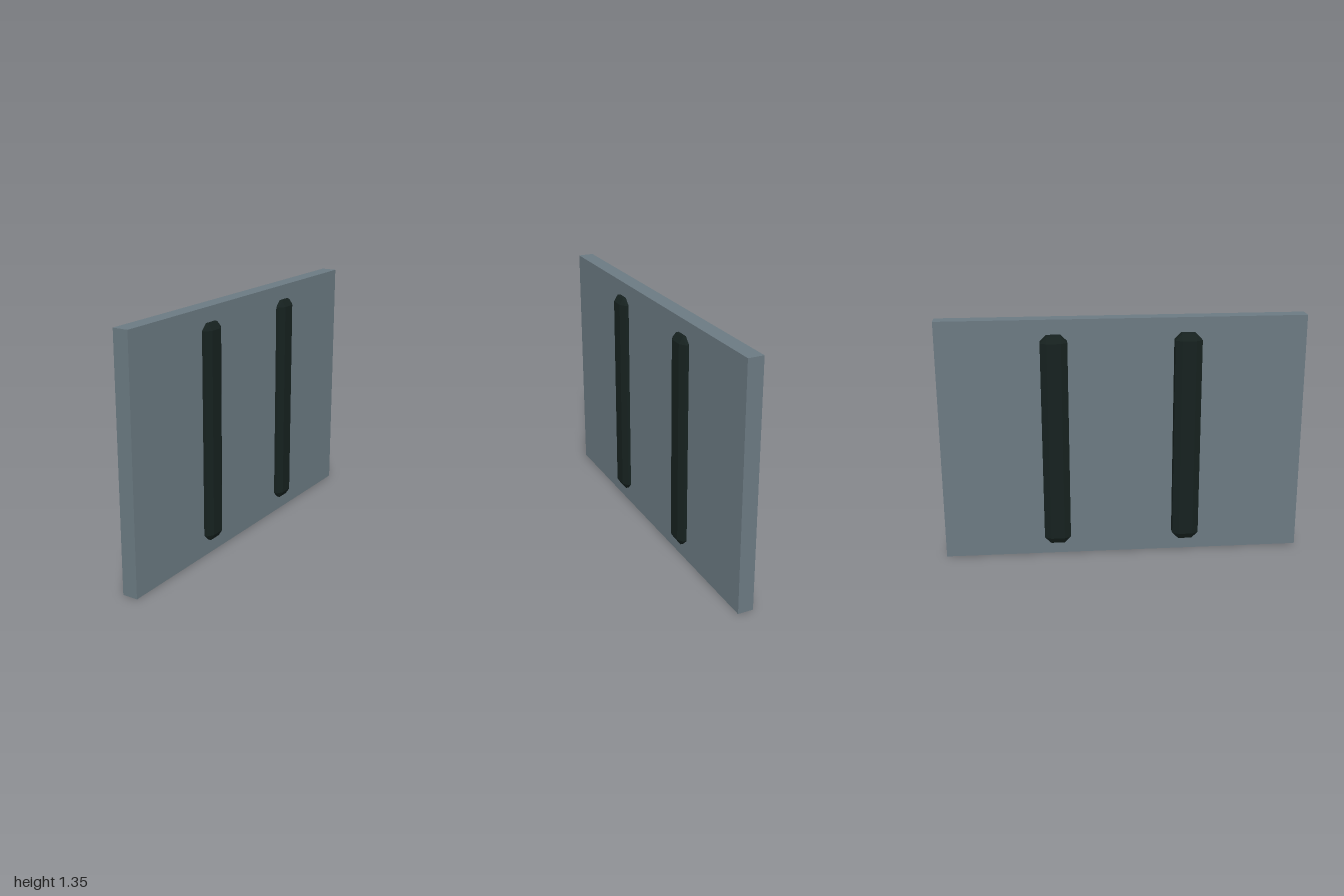
import * as THREE from 'three';
import { ConvexGeometry } from 'three/addons/geometries/ConvexGeometry.js';

// Box with flat chamfers on every edge; h = half sizes, c = chamfer along each axis
function chamferedBox(h, c) {
  const points = [];
  for (const sx of [-1, 1]) for (const sy of [-1, 1]) for (const sz of [-1, 1]) {
    const s = [sx, sy, sz];
    for (let face = 0; face < 3; face++) {
      points.push(new THREE.Vector3(...s.map((v, i) => v * (i === face ? h[i] : h[i] - c[i]))));
    }
  }
  return new ConvexGeometry(points);
}

export function createModel() {
  const group = new THREE.Group();
  const panelMaterial = new THREE.MeshStandardMaterial({ color: 0x6b7a82, flatShading: true });
  const barMaterial = new THREE.MeshStandardMaterial({ color: 0x16211f, flatShading: true });

  // Upright flat panel
  const panel = new THREE.Mesh(new THREE.BoxGeometry(0.086, 1.35, 2), panelMaterial);
  panel.name = 'panel';
  panel.position.set(0.016, 0.675, 0);
  group.add(panel);

  // Two vertical bars passing through the panel
  const barGeometry = chamferedBox([0.098, 0.593, 0.073], [0.022, 0.035, 0.035]);
  for (const [name, z] of [['frontBar', 0.349], ['backBar', -0.372]]) {
    const bar = new THREE.Mesh(barGeometry, barMaterial);
    bar.name = name;
    bar.position.set(0, 0.676, z);
    group.add(bar);
  }
  return group;
}
